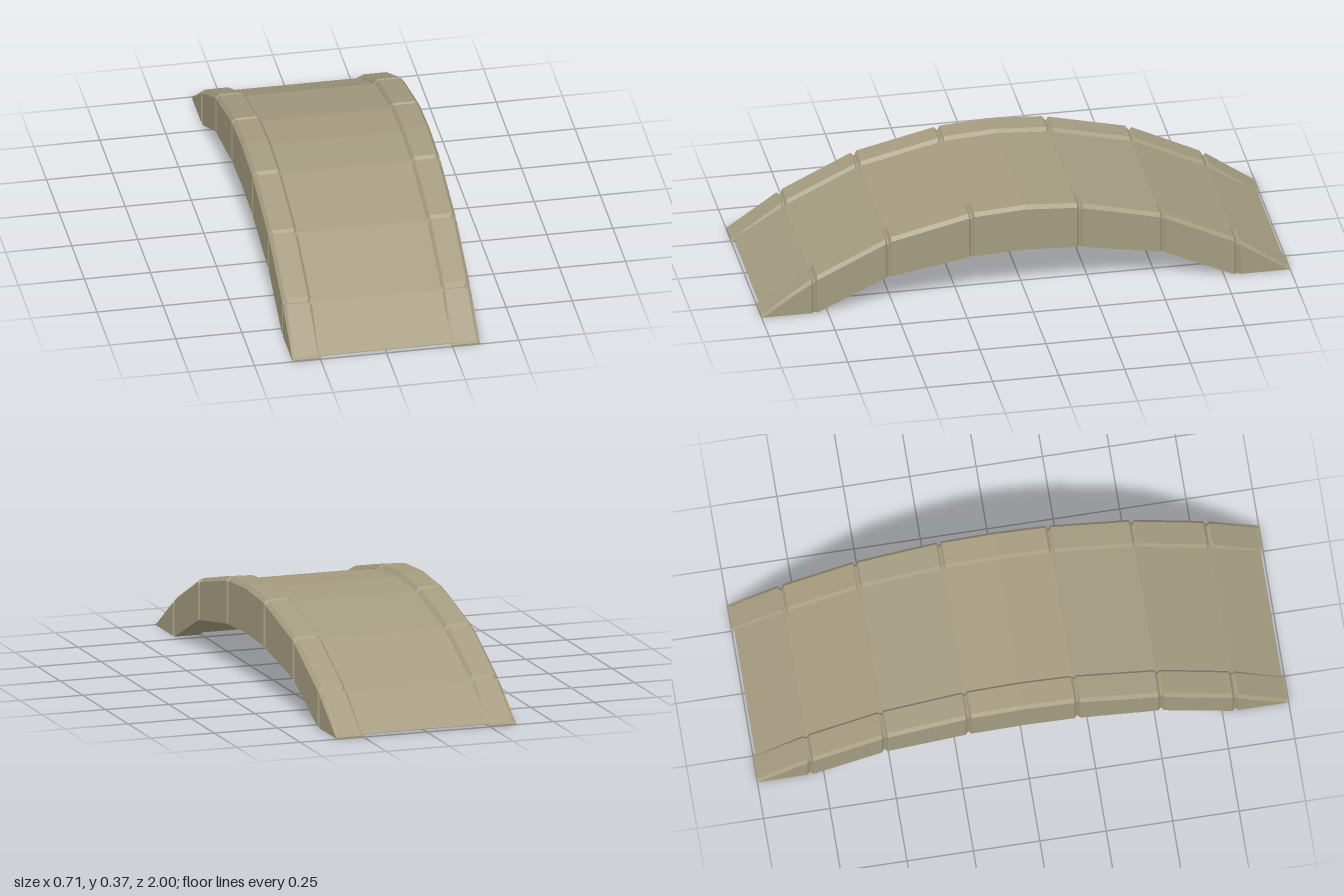
import * as THREE from 'three';

// Upper and lower profile heights along half the span: [distance from centre, height]
const TOP = [[0, 0.37], [0.2, 0.357], [0.52, 0.282], [0.8, 0.146], [0.988, 0.013], [1, 0.006]];
const BOTTOM = [[0, 0.187], [0.2, 0.178], [0.52, 0.124], [0.79, 0], [1, 0]];
const JOINTS = [0.205, 0.52, 0.8];

function heightAt(profile, z) {
  const d = Math.abs(z);
  for (let i = 1; i < profile.length; i++) {
    const [d0, h0] = profile[i - 1], [d1, h1] = profile[i];
    if (d <= d1) return h0 + (h1 - h0) * (d - d0) / (d1 - d0);
  }
  return profile[profile.length - 1][1];
}

// Lofts counterclockwise rings of [x, y] along increasing z, with capped ends
function loft(sections) {
  const pos = [];
  const tri = (...pts) => pts.forEach((p) => pos.push(...p));
  const rings = sections.map(({ z, ring }) => ring.map(([x, y]) => [x, y, z]));
  const n = rings[0].length;
  for (let s = 0; s < rings.length - 1; s++) {
    for (let i = 0; i < n; i++) {
      const j = (i + 1) % n;
      const a = rings[s][i], b = rings[s][j], c = rings[s + 1][j], d = rings[s + 1][i];
      tri(a, b, c);
      tri(a, c, d);
    }
  }
  const first = rings[0], last = rings[rings.length - 1];
  for (let i = 1; i < n - 1; i++) {
    tri(first[0], first[i + 1], first[i]);
    tri(last[0], last[i], last[i + 1]);
  }
  const geo = new THREE.BufferGeometry();
  geo.setAttribute('position', new THREE.Float32BufferAttribute(pos, 3));
  geo.computeVertexNormals();
  return geo;
}

// Mirrors a list of distances into sorted z positions
function mirrored(list) {
  return [...list.filter((d) => d > 0).map((d) => -d).reverse(), ...list];
}

// Chamfered kerb outline; inset shrinks it inside the grooves between blocks
function kerbRing(z, side, inset) {
  const low = heightAt(BOTTOM, z);
  const high = Math.max(low + 0.005, heightAt(TOP, z) - inset);
  const c = Math.min(0.014, (high - low) * 0.5);
  const e = Math.min(0.009, (high - low) * 0.4);
  const inner = 0.246 + inset * 0.5, outer = 0.355 - inset;
  const ring = [
    [inner + 0.01, low], [outer, low], [outer, high - c],
    [outer - 0.013, high], [inner + 0.011, high], [inner, high - c], [inner, low + e],
  ];
  return side > 0 ? ring : ring.map(([x, y]) => [-x, y]).reverse();
}

function createKerb(side) {
  const stations = [0];
  for (const j of JOINTS) stations.push(j - 0.011, j - 0.002, j + 0.002, j + 0.011);
  stations.push(0.988, 1);
  const inGroove = (z) => JOINTS.some((j) => Math.abs(Math.abs(z) - j) < 0.005);
  return loft(mirrored(stations).map((z) => ({
    z, ring: kerbRing(z, side, inGroove(z) ? 0.01 : 0),
  })));
}

// Roadway slab sits just inside the kerbs, above and below
function createDeck() {
  const w = 0.252;
  return loft(mirrored([0, 0.2, 0.515, 0.79, 0.8, 0.99]).map((z) => {
    const low = heightAt(BOTTOM, z) + 0.008;
    const high = Math.max(low + 0.002, heightAt(TOP, z) - (Math.abs(z) > 0.9 ? 0.002 : 0.015));
    return { z, ring: [[-w, low], [w, low], [w, high], [-w, high]] };
  }));
}

export function createModel() {
  const group = new THREE.Group();
  group.name = 'archBridge';
  const stone = new THREE.MeshStandardMaterial({ color: 0xa59c80 });
  stone.name = 'sandstone';
  stone.flatShading = true;

  const add = (name, geometry) => {
    const mesh = new THREE.Mesh(geometry, stone);
    mesh.name = name;
    group.add(mesh);
  };
  add('deck', createDeck());
  add('leftKerb', createKerb(1));
  add('rightKerb', createKerb(-1));
  return group;
}
